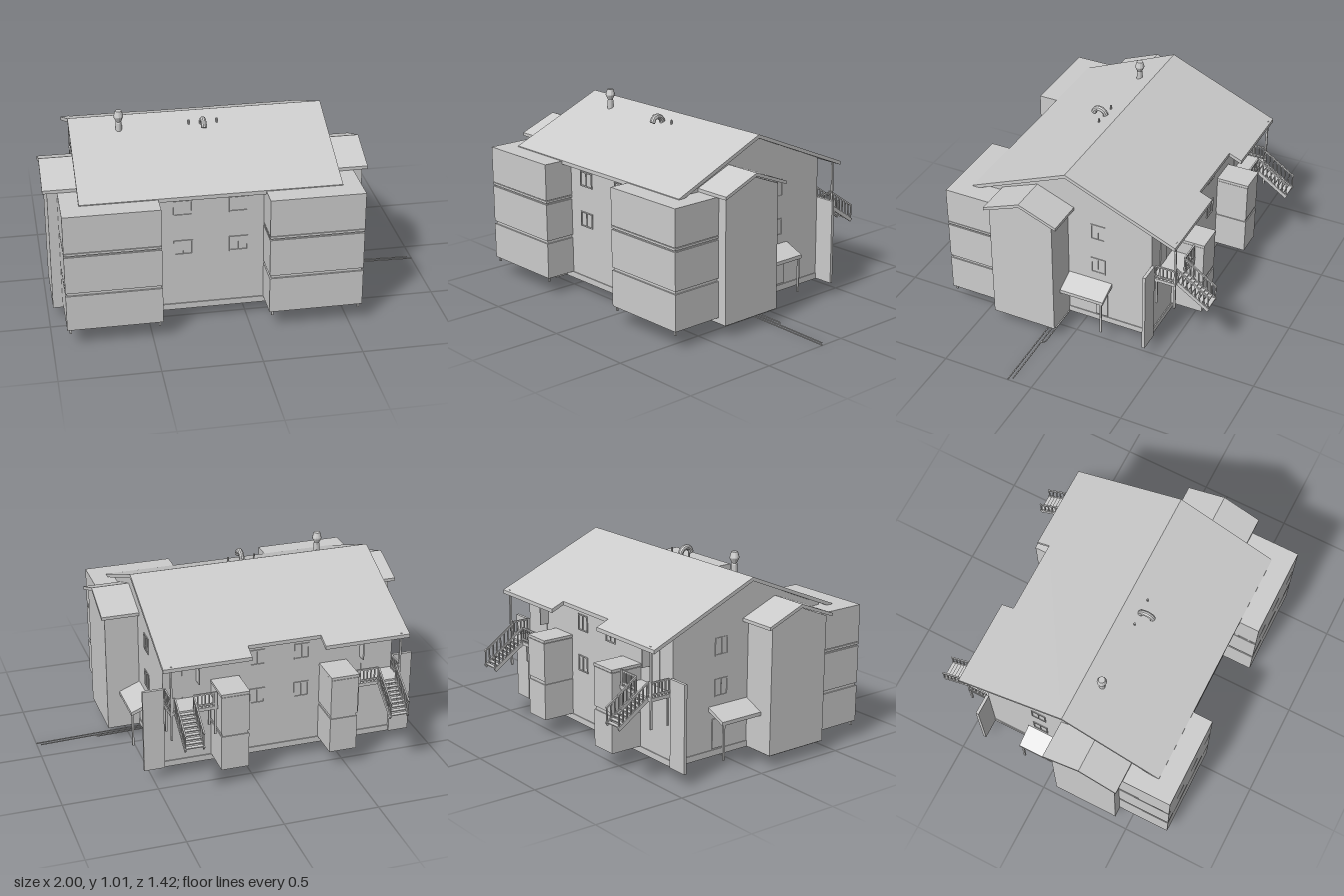
import * as THREE from 'three';

const CX = -0.18;              // mirror axis of the building
const RIDGE_Z = 0.065, RIDGE_Y = 0.955, PITCH = 0.42;
const mat = new THREE.MeshStandardMaterial({ color: 0xcccccc, flatShading: true, side: THREE.DoubleSide });

export function createModel() {
  const model = new THREE.Group();
  model.name = 'house';

  const add = (name, geo, parent = model) => {
    const m = new THREE.Mesh(geo, mat);
    m.name = name;
    parent.add(m);
    return m;
  };
  // box given by its limits on each axis
  const box = (name, x0, x1, y0, y1, z0, z1, parent) => {
    const g = new THREE.BoxGeometry(Math.abs(x1 - x0), y1 - y0, Math.abs(z1 - z0));
    g.translate((x0 + x1) / 2, (y0 + y1) / 2, (z0 + z1) / 2);
    return add(name, g, parent);
  };
  // [z, y] outline extruded along x
  const prism = (name, pts, x0, x1, parent) => {
    const shape = new THREE.Shape(pts.map(([z, y]) => new THREE.Vector2(-z, y)));
    const g = new THREE.ExtrudeGeometry(shape, { depth: Math.abs(x1 - x0), bevelEnabled: false });
    g.rotateY(Math.PI / 2).translate(Math.min(x0, x1), 0, 0);
    return add(name, g, parent);
  };
  // square bar between two points
  const bar = (name, a, b, w, parent, h = w) => {
    const p = new THREE.Vector3(...a), q = new THREE.Vector3(...b);
    const m = add(name, new THREE.BoxGeometry(w, h, p.distanceTo(q)), parent);
    m.position.copy(p).lerp(q, 0.5);
    m.lookAt(q);
    return m;
  };
  // roof slab: plan outline in [x, z] bent down from the ridge
  const roofSlab = (name, plan) => {
    const shape = new THREE.Shape(plan.map(([x, z]) => new THREE.Vector2(x, -z)));
    const g = new THREE.ExtrudeGeometry(shape, { depth: 0.02, bevelEnabled: false });
    g.rotateX(-Math.PI / 2);
    const p = g.attributes.position;
    for (let i = 0; i < p.count; i++) {
      p.setY(i, p.getY(i) + RIDGE_Y - 0.02 - PITCH * Math.abs(p.getZ(i) - RIDGE_Z));
    }
    g.computeVertexNormals();
    return add(name, g);
  };
  // framed window: on a z-facing or x-facing wall
  const windowAt = (x, y, z, w, h, alongX, parent) => {
    const t = 0.003, f = 0.006;
    const piece = (name, du, dy, lw, lh) => alongX
      ? box(name, x + du - lw / 2, x + du + lw / 2, y + dy - lh / 2, y + dy + lh / 2, z - t, z + t, parent)
      : box(name, x - t, x + t, y + dy - lh / 2, y + dy + lh / 2, z + du - lw / 2, z + du + lw / 2, parent);
    for (const s of [-1, 1]) {
      piece('windowFrameSide', s * w / 2, 0, f, h + f);
      piece('windowFrameRail', 0, s * h / 2, w, f);
    }
    piece('windowMullion', 0, 0, f / 2, h);
  };

  // Main body and roof
  prism('mainWalls', [[0.54, 0.07], [0.54, 0.735], [RIDGE_Z, 0.935], [-0.40, 0.74], [-0.40, 0.07]], CX - 0.62, CX + 0.62);
  box('plinth', CX - 0.624, CX + 0.624, 0.068, 0.1, -0.405, 0.545);
  roofSlab('frontRoof', [[CX - 0.655, 0.6], [CX + 0.655, 0.6], [CX + 0.655, RIDGE_Z], [CX - 0.655, RIDGE_Z]]);
  roofSlab('backRoof', [[CX - 0.655, RIDGE_Z], [CX + 0.655, RIDGE_Z], [CX + 0.655, -0.54], [CX + 0.195, -0.54],
    [CX + 0.195, -0.47], [CX - 0.195, -0.47], [CX - 0.195, -0.54], [CX - 0.655, -0.54]]);

  for (const s of [-1, 1]) {
    const X = u => CX + s * u;
    const half = new THREE.Group();
    half.name = s > 0 ? 'leftHalf' : 'rightHalf';
    model.add(half);

    // Side wing with its own gable roof
    prism('wingWalls', [[0.425, 0.07], [0.425, 0.73], [0.245, 0.805], [0.07, 0.735], [0.07, 0.07]], X(0.6), X(0.797), half);
    box('wingPlinth', X(0.6), X(0.792), 0.066, 0.1, 0.075, 0.42, half);
    prism('wingRoof', [[0.445, 0.745], [0.24, 0.826], [0.035, 0.745], [0.035, 0.728], [0.24, 0.808], [0.445, 0.728]],
      X(0.6), X(0.82), half);

    // Stacked front bays
    for (const [y0, y1] of [[0.1, 0.292], [0.308, 0.507], [0.53, 0.726]]) {
      box('frontBay', X(0.268), X(0.747), y0, y1, 0.425, 0.708, half);
    }
    box('frontBayTopLedge', X(0.268), X(0.747), 0.515, 0.527, 0.425, 0.708, half);
    box('frontBayCore', X(0.275), X(0.74), 0.28, 0.54, 0.43, 0.7, half);
    box('frontBayFooting', X(0.32), X(0.6), 0.07, 0.1, 0.54, 0.62, half);
    for (const u of [0.285, 0.73]) box('frontBayFoot', X(u - 0.005), X(u + 0.005), 0.075, 0.1, 0.688, 0.698, half);

    // Stacked back bays
    box('lowerBackBay', X(0.22), X(0.367), 0.1, 0.292, -0.39, -0.575, half);
    box('upperBackBay', X(0.22), X(0.367), 0.31, 0.515, -0.39, -0.575, half);
    box('backBayCore', X(0.225), X(0.362), 0.28, 0.32, -0.39, -0.57, half);
    box('backBayCap', X(0.218), X(0.369), 0.518, 0.533, -0.39, -0.577, half);

    // Back screen wall
    box('screenWall', X(0.62), X(0.73), 0.07, 0.525, -0.4, -0.416, half);

    // Raised deck with posts
    box('deck', X(0.37), X(0.62), 0.432, 0.45, -0.4, -0.53, half);
    for (const u of [0.385, 0.612]) {
      box('deckRearPost', X(u - 0.005), X(u + 0.005), 0.29, 0.435, -0.42, -0.43, half);
      box('deckFrontPost', X(u - 0.005), X(u + 0.005), 0.29, u > 0.5 ? 0.708 : 0.53, -0.52, -0.53, half);
    }
    const railing = (a, b) => {
      const n = Math.max(2, Math.round(Math.hypot(b[0] - a[0], b[1] - a[1]) / 0.02));
      for (const y of [0.465, 0.526]) bar('deckRail', [a[0], y, a[1]], [b[0], y, b[1]], 0.008, half);
      for (let i = 0; i <= n; i++) {
        const x = a[0] + (b[0] - a[0]) * i / n, z = a[1] + (b[1] - a[1]) * i / n;
        box('deckBaluster', x - 0.003, x + 0.003, 0.45, 0.526, z - 0.003, z + 0.003, half);
      }
    };
    railing([X(0.615), -0.42], [X(0.615), -0.525]);
    railing([X(0.375), -0.525], [X(0.495), -0.525]);
    railing([X(0.595), -0.525], [X(0.615), -0.525]);

    // Stair flight
    for (const u of [0.497, 0.593]) {
      bar('stairStringer', [X(u), 0.44, -0.53], [X(u), 0.324, -0.703], 0.008, half, 0.02);
      bar('stairRail', [X(u), 0.526, -0.525], [X(u), 0.405, -0.705], 0.008, half);
      for (let i = 0; i < 8; i++) {
        const z = -0.535 - i * 0.0235, y = 0.44 - i * 0.0157;
        box('stairBaluster', X(u) - 0.003, X(u) + 0.003, y, y + 0.08, z - 0.003, z + 0.003, half);
      }
    }
    for (let i = 0; i < 9; i++) {
      const z = -0.53 - i * 0.019, y = 0.435 - i * 0.0128;
      box('stairTread', X(0.498), X(0.592), y, y + 0.005, z, z - 0.022, half);
    }

    // Back door standing open, and back windows
    box('deckDoor', X(0.44), X(0.446), 0.54, 0.7, -0.4, -0.45, half);
    box('deckDoorPanel', X(0.45), X(0.52), 0.452, 0.66, -0.398, -0.404, half);
    for (const y of [0.4, 0.62]) windowAt(X(0.12), y, -0.402, 0.075, 0.08, true, half);

    // Side entrance: sloped canopy, post, door, windows above
    const canopy = new THREE.Shape([[0.61, 0.333], [0.73, 0.283], [0.73, 0.264], [0.61, 0.312]].map(
      ([u, y]) => new THREE.Vector2(X(u), y)));
    add('canopy', new THREE.ExtrudeGeometry(canopy, { depth: 0.245, bevelEnabled: false }).translate(0, 0, -0.178), half);
    box('canopyPost', X(0.716), X(0.726), 0.08, 0.272, -0.168, -0.158, half);
    box('sideDoor', X(0.615), X(0.626), 0.108, 0.262, -0.155, -0.088, half);
    for (const y of [0.42, 0.63]) windowAt(X(0.621), y, -0.1, 0.075, 0.085, false, half);

    // Front windows
    for (const y of [0.42, 0.64]) windowAt(X(0.14), y, 0.542, 0.09, 0.075, true, half);
  }

  // Roof vent with a flared cap
  const vent = add('roofVent', new THREE.LatheGeometry([[0.016, 0.9], [0.016, 0.955], [0.013, 0.96], [0.025, 0.985],
    [0.025, 0.99], [0.017, 1.018], [0, 1.018]].map(([r, y]) => new THREE.Vector2(r, y)), 12));
  vent.position.set(-0.585, 0, 0.157);

  // Gooseneck vent
  const neck = new THREE.CatmullRomCurve3([[0.9, 0.153], [0.925, 0.155], [0.943, 0.169], [0.95, 0.19], [0.943, 0.21],
    [0.92, 0.223]].map(([y, z]) => new THREE.Vector3(-0.16, y, z)));
  add('gooseneckVent', new THREE.TubeGeometry(neck, 14, 0.015, 10));
  for (const x of [-0.228, -0.084]) {
    add('ventStub', new THREE.CylinderGeometry(0.005, 0.005, 0.035, 8)).position.set(x, 0.922, 0.155);
  }

  // Service pipes under the floor
  const pipe = pts => {
    for (let i = 1; i < pts.length; i++) bar('servicePipe', pts[i - 1], pts[i], 0.005);
  };
  pipe([[-0.415, 0.07, 0.135], [-0.415, 0.042, 0.135], [-0.2, 0.033, 0.135], [1, 0.006, 0.135]]);
  pipe([[0.05, 0.07, 0.115], [0.05, 0.03, 0.115], [0.98, 0.006, 0.115]]);
  pipe([[0.05, 0.03, 0.095], [0.67, 0.016, 0.095], [0.69, 0.015, 0.115]]);
  for (let i = 0; i < 6; i++) {
    const x = -0.225 + i * 0.018;
    box('manifoldRiser', x - 0.003, x + 0.003, 0.03, 0.07, 0.142, 0.148);
    box('manifoldBranch', x - 0.003, x + 0.003, 0.027, 0.033, 0.11, 0.195);
  }
  return model;
}
